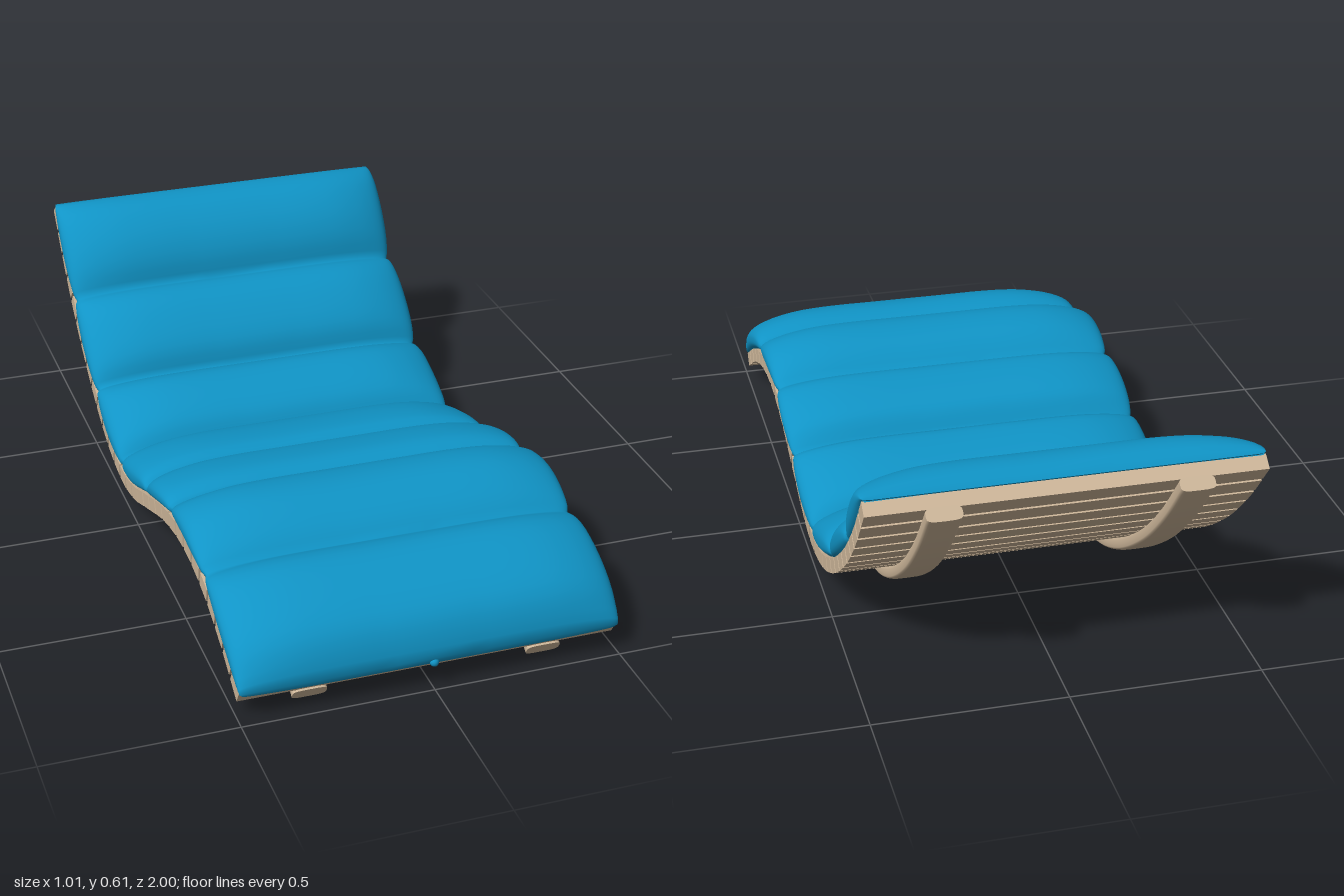
import * as THREE from 'three';

const wood = new THREE.MeshStandardMaterial({ color: 0xcdb699 });
wood.name = 'pale wood';
const fabric = new THREE.MeshStandardMaterial({ color: 0x1094c6 });
fabric.name = 'blue fabric';

// Curve through [z, y] pairs in the plane x = 0
const sideCurve = (pts) =>
  new THREE.CatmullRomCurve3(pts.map(([z, y]) => new THREE.Vector3(0, y, z)));

// Wave line where the slats rest on the rails, front to back
const wave = sideCurve([
  [0.957, 0.04], [0.8, 0.128], [0.65, 0.182], [0.48, 0.203], [0.3, 0.177], [0.1, 0.108],
  [-0.05, 0.055], [-0.18, 0.035], [-0.33, 0.057], [-0.5, 0.132], [-0.7, 0.272],
  [-0.85, 0.415], [-0.974, 0.563],
]);
wave.arcLengthDivisions = 800;

// Point and upward normal on the wave, lifted along the normal
function frame(u, lift) {
  const t = wave.getTangentAt(u);
  const normal = new THREE.Vector3(0, -t.z, t.y);
  return { normal, point: wave.getPointAt(u).addScaledVector(normal, lift) };
}

// Skin over closed rings running front to back; each ring goes +x, top, -x, bottom
function loft(rings, capped) {
  const n = rings[0].length;
  const pos = [], idx = [];
  rings.forEach((r) => r.forEach((p) => pos.push(p.x, p.y, p.z)));
  for (let i = 0; i < rings.length - 1; i++) {
    for (let j = 0; j < n; j++) {
      const k = (j + 1) % n;
      const a = i * n + j, b = i * n + k, c = a + n, d = b + n;
      idx.push(a, c, b, b, c, d);
    }
  }
  if (capped) {
    [rings[0], rings[rings.length - 1]].forEach((r, end) => {
      const s = pos.length / 3;
      r.forEach((p) => pos.push(p.x, p.y, p.z));
      for (let j = 1; j < n - 1; j++) {
        idx.push(s, ...(end ? [s + j + 1, s + j] : [s + j, s + j + 1]));
      }
    });
  }
  const g = new THREE.BufferGeometry();
  g.setAttribute('position', new THREE.Float32BufferAttribute(pos, 3));
  g.setIndex(idx);
  g.computeVertexNormals();
  return g;
}

// Cross slats spaced evenly along the wave
function makeSlats() {
  const group = new THREE.Group();
  group.name = 'slats';
  const count = 30, pitch = wave.getLength() / count;
  const geometry = new THREE.BoxGeometry(0.994, 0.04, pitch - 0.011);
  for (let i = 0; i < count; i++) {
    const { point, normal } = frame((i + 0.5) / count, 0.02);
    const slat = new THREE.Mesh(geometry, wood);
    slat.name = 'slat';
    slat.position.copy(point);
    slat.rotation.x = Math.atan2(normal.z, normal.y);
    group.add(slat);
  }
  return group;
}

// Curved rail with rounded lower edges
function makeRail(x) {
  const rings = [];
  const steps = 90, sides = 24;
  for (let i = 0; i <= steps; i++) {
    const u = i / steps;
    const { point, normal } = frame(u, -0.0165);
    const ring = [];
    for (let j = 0; j < sides; j++) {
      const a = (j / sides) * Math.PI * 2;
      const c = Math.cos(a), s = Math.sin(a);
      const across = Math.sign(c) * Math.abs(c) ** 0.5 * 0.045;
      const up = Math.sign(s) * Math.abs(s) ** 0.5 * 0.0185;
      ring.push(point.clone().addScaledVector(normal, up).setX(x + across));
    }
    rings.push(ring);
  }
  const rail = new THREE.Mesh(loft(rings, true), wood);
  rail.name = x > 0 ? 'leftRail' : 'rightRail';
  return rail;
}

// Puffed top line of each cushion roll as [z, y]; each starts where the last ended
const rolls = [
  [[0.985, 0.07], [0.998, 0.085], [0.99, 0.14], [0.96, 0.2], [0.89, 0.25], [0.78, 0.287], [0.72, 0.28], [0.68, 0.26]],
  [[0.64, 0.3], [0.56, 0.34], [0.5, 0.347], [0.42, 0.33], [0.37, 0.295], [0.35, 0.275]],
  [[0.3, 0.295], [0.2, 0.28], [0.13, 0.25], [0.1, 0.212], [0.085, 0.19]],
  [[0.05, 0.22], [0, 0.222], [-0.1, 0.2], [-0.16, 0.172], [-0.195, 0.125]],
  [[-0.23, 0.18], [-0.3, 0.222], [-0.38, 0.24], [-0.43, 0.23], [-0.46, 0.215]],
  [[-0.48, 0.28], [-0.53, 0.34], [-0.6, 0.39], [-0.66, 0.403], [-0.695, 0.395]],
  [[-0.71, 0.47], [-0.75, 0.54], [-0.82, 0.598], [-0.88, 0.61], [-0.925, 0.6], [-0.943, 0.58]],
];

function makeCushion() {
  // Half section: distance in from the edge, fraction of the full height
  const half = new THREE.CatmullRomCurve3([
    [0.02, 0], [0.004, 0.12], [0, 0.3], [0.004, 0.45], [0.02, 0.6],
    [0.05, 0.73], [0.1, 0.86], [0.17, 0.96], [0.26, 1], [0.4, 1],
  ].map(([d, f]) => new THREE.Vector3(d, f, 0))).getPoints(27);
  const section = [
    ...half.map((p) => ({ side: 1, d: p.x, f: p.y })),
    ...half.map((p) => ({ side: -1, d: p.x, f: p.y })).reverse(),
  ];
  const seat = [];
  for (let i = 0; i <= 400; i++) seat.push(frame(i / 400, 0.039).point);
  const footOf = (p) =>
    seat.reduce((best, q) => (q.distanceToSquared(p) < best.distanceToSquared(p) ? q : best));

  const rings = [];
  rolls.forEach((roll, r) => {
    const pts = r ? [rolls[r - 1].at(-1), ...roll] : roll;
    const line = sideCurve(pts);
    const steps = 16;
    for (let i = r ? 1 : 0; i <= steps; i++) {
      const t = i / steps;
      const top = line.getPointAt(t);
      const foot = footOf(top);
      const width = 0.49 + 0.016 * Math.sqrt(Math.max(0, Math.sin(Math.PI * t)));
      rings.push(section.map(({ side, d, f }) =>
        foot.clone().lerp(top, f).setX(side * (width - d))));
    }
  });
  const cushion = new THREE.Mesh(loft(rings, true), fabric);
  cushion.name = 'cushion';
  return cushion;
}

export function createModel() {
  const model = new THREE.Group();
  model.name = 'waveLounger';
  model.add(makeSlats(), makeRail(0.31), makeRail(-0.31), makeCushion());

  // Small tuft at the middle of the front hem
  const tuft = new THREE.Mesh(new THREE.SphereGeometry(0.012, 16, 10), fabric);
  tuft.name = 'hemTuft';
  tuft.position.set(0, 0.076, 0.989);
  model.add(tuft);
  return model;
}
